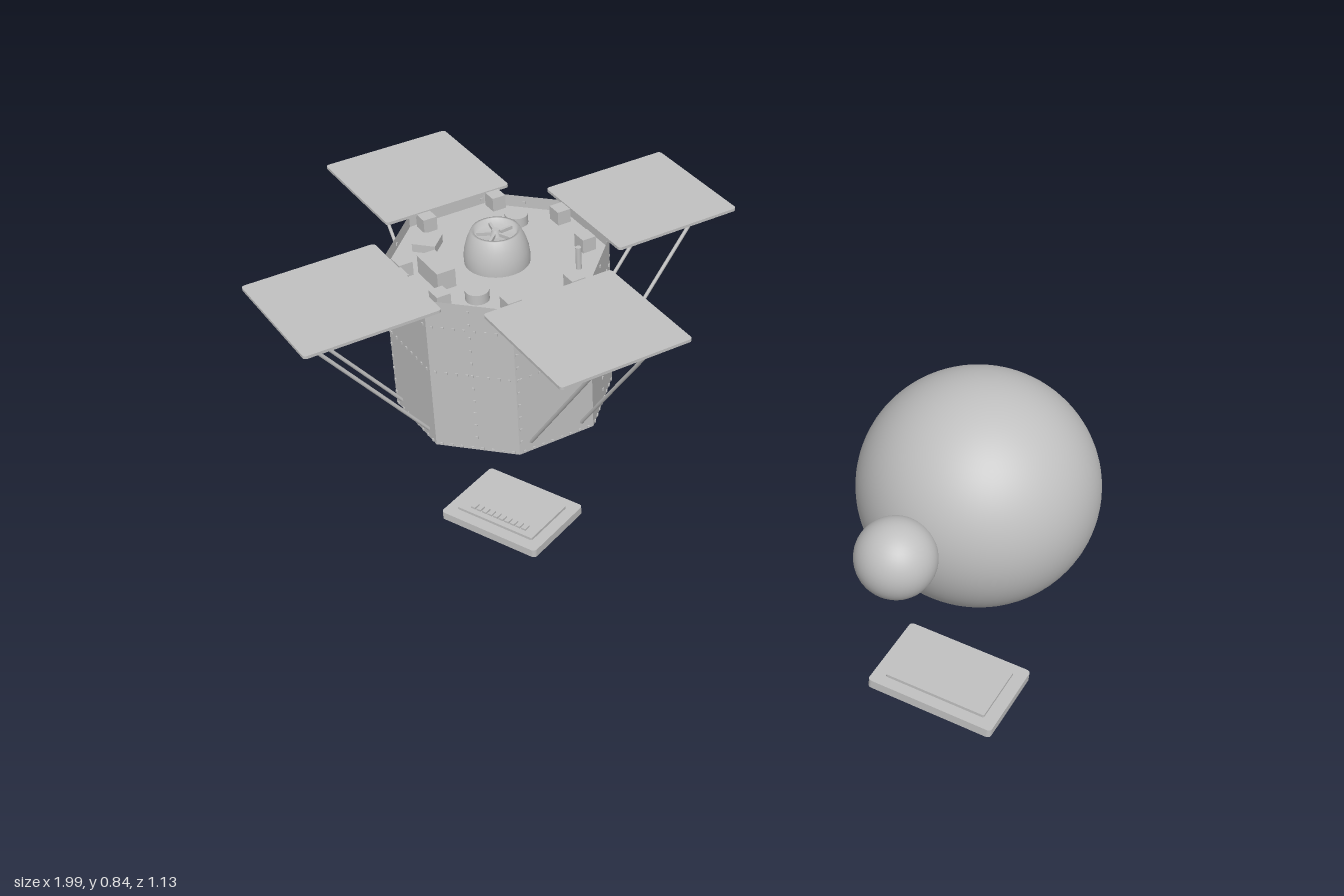
import * as THREE from 'three';

const grey = new THREE.MeshStandardMaterial({ color: 0xc0c0c0, side: THREE.DoubleSide });
grey.name = 'plain grey';

const CX = -0.432, DECK = 0.757, RIM = 0.787, R = 0.257;
const APOTHEM = R * Math.cos(Math.PI / 8);

function add(parent, name, geo, x = 0, y = 0, z = 0, ry = 0) {
  const m = new THREE.Mesh(geo, grey);
  m.name = name;
  m.position.set(x, y, z);
  m.rotation.y = ry;
  parent.add(m);
  return m;
}

function box(parent, name, w, h, d, x, y, z, ry = 0) {
  return add(parent, name, new THREE.BoxGeometry(w, h, d), x, y + h / 2, z, ry);
}

function strut(parent, name, a, b, r) {
  const dir = b.clone().sub(a);
  const m = add(parent, name, new THREE.CylinderGeometry(r, r, dir.length(), 8));
  m.position.copy(a).add(b).multiplyScalar(0.5);
  m.quaternion.setFromUnitVectors(new THREE.Vector3(0, 1, 0), dir.normalize());
}

// Eight flat sides, with one side facing local +x
function octagon(h, open) {
  const g = new THREE.CylinderGeometry(R, R, h, 8, 1, open).rotateY(Math.PI / 8).toNonIndexed();
  g.computeVertexNormals();
  return g;
}

// Rounded-corner slab with its bottom on y = 0
function slab(w, d, h, r) {
  const x = w / 2 - r, z = d / 2 - r;
  const s = new THREE.Shape();
  s.absarc(x, z, r, 0, Math.PI / 2);
  s.absarc(-x, z, r, Math.PI / 2, Math.PI);
  s.absarc(-x, -z, r, Math.PI, Math.PI * 1.5);
  s.absarc(x, -z, r, Math.PI * 1.5, Math.PI * 2);
  return new THREE.ExtrudeGeometry(s, { depth: h, bevelEnabled: false, curveSegments: 4 }).rotateX(-Math.PI / 2);
}

function makeSatellite() {
  const sat = new THREE.Group();
  sat.name = 'satellite';
  sat.position.x = CX;

  // Everything that follows the eight-sided hull
  const hull = new THREE.Group();
  hull.name = 'hull';
  hull.rotation.y = -0.42;
  sat.add(hull);
  add(hull, 'body', octagon(DECK - 0.395, false), 0, (DECK + 0.395) / 2, 0);
  add(hull, 'rim', octagon(RIM - DECK, true), 0, (RIM + DECK) / 2, 0);

  // Square solar panels, each held by two slanted struts
  for (let i = 0; i < 4; i++) {
    const wing = new THREE.Group();
    wing.name = 'solarWing';
    wing.rotation.y = i * Math.PI / 2;
    hull.add(wing);
    add(wing, 'solarPanel', slab(0.322, 0.322, 0.007, 0.008), 0.386, 0.787, 0);
    for (const t of [-0.067, 0.067]) {
      strut(wing, 'panelStrut', new THREE.Vector3(0.53, 0.788, t), new THREE.Vector3(APOTHEM, 0.42, t), 0.0045);
    }
  }

  // Rivet rows and corner beading on every wall
  const rivets = [];
  for (let i = 0; i < 8; i++) {
    const side = new THREE.Group();
    side.name = 'wallRivets';
    side.rotation.y = i * Math.PI / 4;
    hull.add(side);
    for (const y of [0.4, 0.6, 0.72]) {
      for (let t = -0.085; t < 0.09; t += 0.0243) rivets.push([side, y, t]);
    }
    for (let y = 0.43; y < 0.78; y += 0.034) rivets.push([side, y, i % 2 ? 0 : 0.092]);
  }
  for (const [side, y, t] of rivets) box(side, 'rivet', 0.005, 0.006, 0.006, APOTHEM, y - 0.003, t);

  // Rounded antenna cup with a recessed feed
  const cup = [[0.075, 0], [0.0755, 0.015], [0.073, 0.035], [0.067, 0.056], [0.056, 0.08],
    [0.05, 0.08], [0.045, 0.066], [0, 0.066]].map(p => new THREE.Vector2(...p));
  add(sat, 'antennaCup', new THREE.LatheGeometry(cup, 32), 0, DECK, 0);
  add(sat, 'antennaFeed', new THREE.CylinderGeometry(0.008, 0.014, 0.014, 12), 0, DECK + 0.073, 0);
  for (let i = 0; i < 5; i++) {
    const a = i * Math.PI * 0.4;
    box(sat, 'feedArm', 0.035, 0.008, 0.006, 0.026 * Math.cos(a), DECK + 0.066, 0.026 * Math.sin(a), -a);
  }

  // Small instrument blocks near the edge of the deck
  const blocks = [[0.02, -0.22], [0.138, -0.15], [0.215, 0.005], [0.15, 0.152],
    [-0.22, -0.025], [-0.145, -0.19], [-0.145, 0.158], [0.005, 0.215], [-0.118, 0.205]];
  for (const [x, z] of blocks) {
    box(sat, 'instrumentBlock', 0.038, 0.034, 0.034, x, DECK, z, -0.42);
  }

  // Larger deck equipment
  box(sat, 'equipmentCase', 0.095, 0.045, 0.045, -0.065, DECK, 0.137, -0.42);
  box(sat, 'squarePlate', 0.055, 0.02, 0.055, -0.168, DECK, 0.04, 0.35);
  add(sat, 'roundCap', new THREE.CylinderGeometry(0.027, 0.027, 0.024, 20), -0.06, DECK + 0.012, -0.157);
  add(sat, 'roundCap', new THREE.CylinderGeometry(0.027, 0.027, 0.024, 20), 0.058, DECK + 0.012, 0.152);
  add(sat, 'deckPin', new THREE.CylinderGeometry(0.007, 0.007, 0.055, 10), 0.175, DECK + 0.0275, -0.07);
  return sat;
}

// Low stand with a thin raised plate
function makeStand(name, x, z, w, d) {
  const g = new THREE.Group();
  g.name = name;
  g.position.set(x, 0, z);
  add(g, 'standBase', slab(w - 0.012, d - 0.012, 0.005, 0.008));
  add(g, 'standBody', slab(w, d, 0.021, 0.01), 0, 0.005, 0);
  add(g, 'standPlate', slab(w - 0.06, d - 0.06, 0.007, 0.004), 0, 0.026, 0);
  return g;
}

export function createModel() {
  const model = new THREE.Group();
  model.name = 'satelliteAndBodies';
  model.add(makeSatellite());

  // Large and small spherical bodies
  add(model, 'largeSphere', new THREE.SphereGeometry(0.251, 64, 40), 0.747, 0.576, -0.053);
  add(model, 'smallSphere', new THREE.SphereGeometry(0.084, 40, 24), 0.706, 0.576, 0.24);

  const small = makeStand('satelliteStand', -0.435, 0, 0.286, 0.208);
  // Row of raised studs along the front of the plate
  for (let i = 0; i < 10; i++) box(small, 'stud', 0.013, 0.005, 0.018, -0.077 + i * 0.0171, 0.033, 0.05);
  model.add(small);
  model.add(makeStand('sphereStand', 0.742, -0.052, 0.3, 0.22));
  return model;
}
